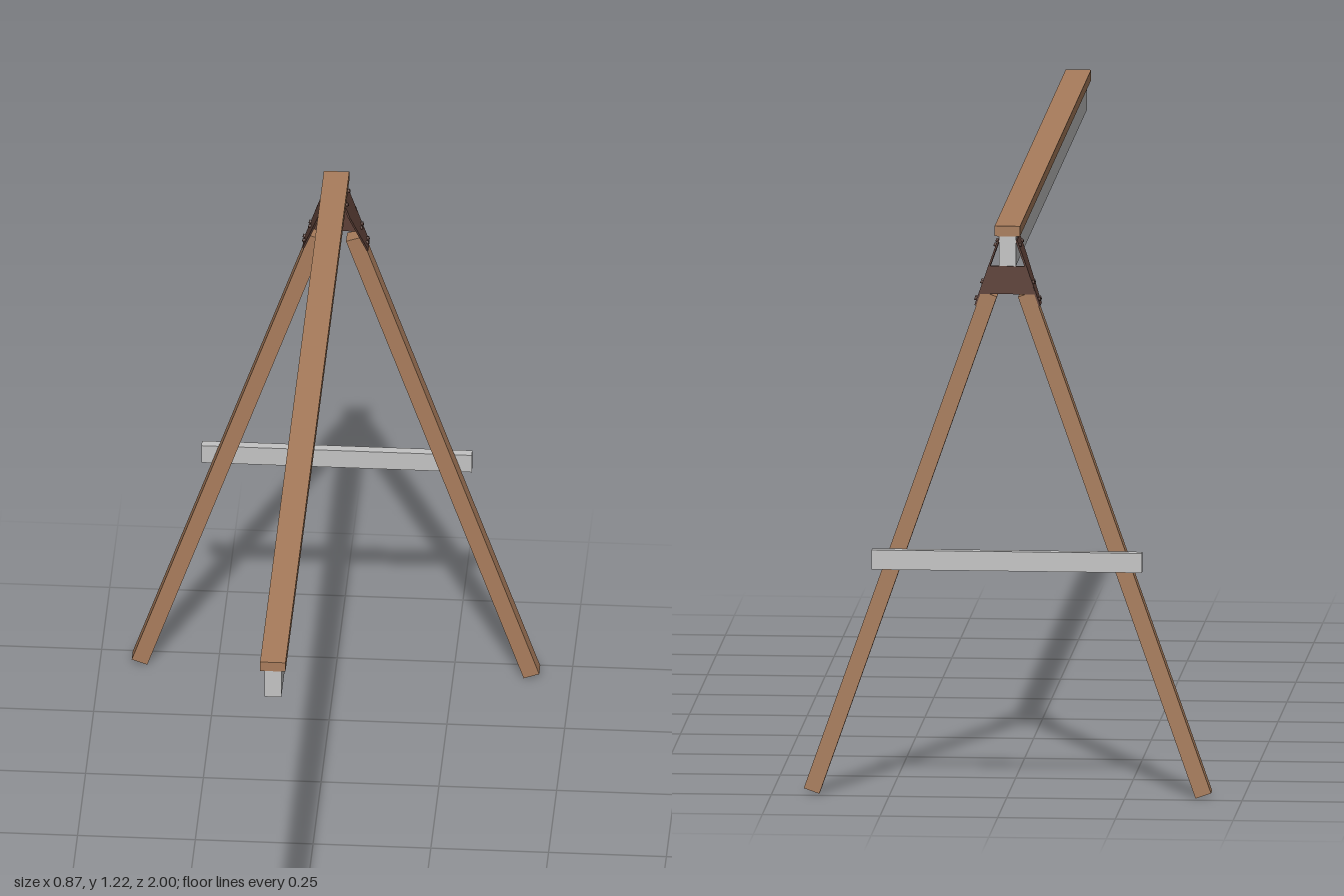
import * as THREE from 'three';

const material = (name, color) => {
  const m = new THREE.MeshStandardMaterial({ color });
  m.name = name;
  return m;
};

export function createModel() {
  const wood = material('wood', 0xa97d5c);
  const grey = material('light grey', 0xc4c4c4);
  const dark = material('dark brown bracket', 0x5d4037);

  const model = new THREE.Group();
  model.name = 'aFrameTrestle';

  const add = (parent, name, geometry, mat, x = 0, y = 0, z = 0) => {
    const mesh = new THREE.Mesh(geometry, mat);
    mesh.name = name;
    mesh.position.set(x, y, z);
    parent.add(mesh);
    return mesh;
  };
  // Box given by its limits on each axis
  const addBox = (parent, name, mat, x0, x1, y0, y1, z0, z1) =>
    add(parent, name, new THREE.BoxGeometry(x1 - x0, y1 - y0, z1 - z0), mat,
      (x0 + x1) / 2, (y0 + y1) / 2, (z0 + z1) / 2);
  const polygon = (points) => new THREE.Shape(points.map(([x, y]) => new THREE.Vector2(x, y)));

  // Long rail with its wooden cap
  addBox(model, 'beam', grey, -0.018, 0.018, 1.14, 1.204, -0.98, 1);
  addBox(model, 'topPlank', wood, -0.027, 0.027, 1.204, 1.226, -0.98, 1);

  // Cross brace behind the legs
  addBox(model, 'crossBrace', grey, -0.287, 0.287, 0.488, 0.53, -1, -0.98);

  // Bracket end plate below the beam
  const endPlate = new THREE.ExtrudeGeometry(
    polygon([[-0.06, 1.08], [0.06, 1.08], [0.041, 1.14], [-0.041, 1.14]]),
    { depth: 0.005, bevelEnabled: false });
  add(model, 'bracketEndPlate', endPlate, dark, 0, 0, -0.981);

  // Bracket side plate, outlined as (z, distance along the leg)
  const thickness = 0.004;
  const sidePlate = new THREE.ExtrudeGeometry(
    polygon([[-0.98, 1.104], [-0.941, 1.104], [-0.902, 1.215], [-0.902, 1.253], [-0.98, 1.253]]),
    { depth: thickness, bevelEnabled: false });
  sidePlate.rotateY(-Math.PI / 2).translate(thickness / 2, 0, 0);

  const bolt = new THREE.CylinderGeometry(0.004, 0.004, 0.005, 8).rotateZ(Math.PI / 2);
  const boltSpots = [[-0.97, 1.24], [-0.915, 1.24], [-0.97, 1.155], [-0.953, 1.155], [-0.97, 1.117], [-0.953, 1.117]];

  // Legs lean inward, each carrying its side plate and bolts
  for (const [side, label] of [[1, 'left'], [-1, 'right']]) {
    const leg = new THREE.Group();
    leg.name = `${label}LegAssembly`;
    leg.position.set(side * 0.416, 0.007, 0);
    leg.rotation.z = side * 0.338;
    addBox(leg, `${label}Leg`, wood, -0.0175, 0.0175, 0, 1.137, -0.979, -0.945);
    add(leg, `${label}BracketPlate`, sidePlate, dark, side * 0.0195);
    for (const [z, y] of boltSpots) add(leg, `${label}Bolt`, bolt, dark, side * 0.0235, y, z);
    model.add(leg);
  }
  return model;
}
